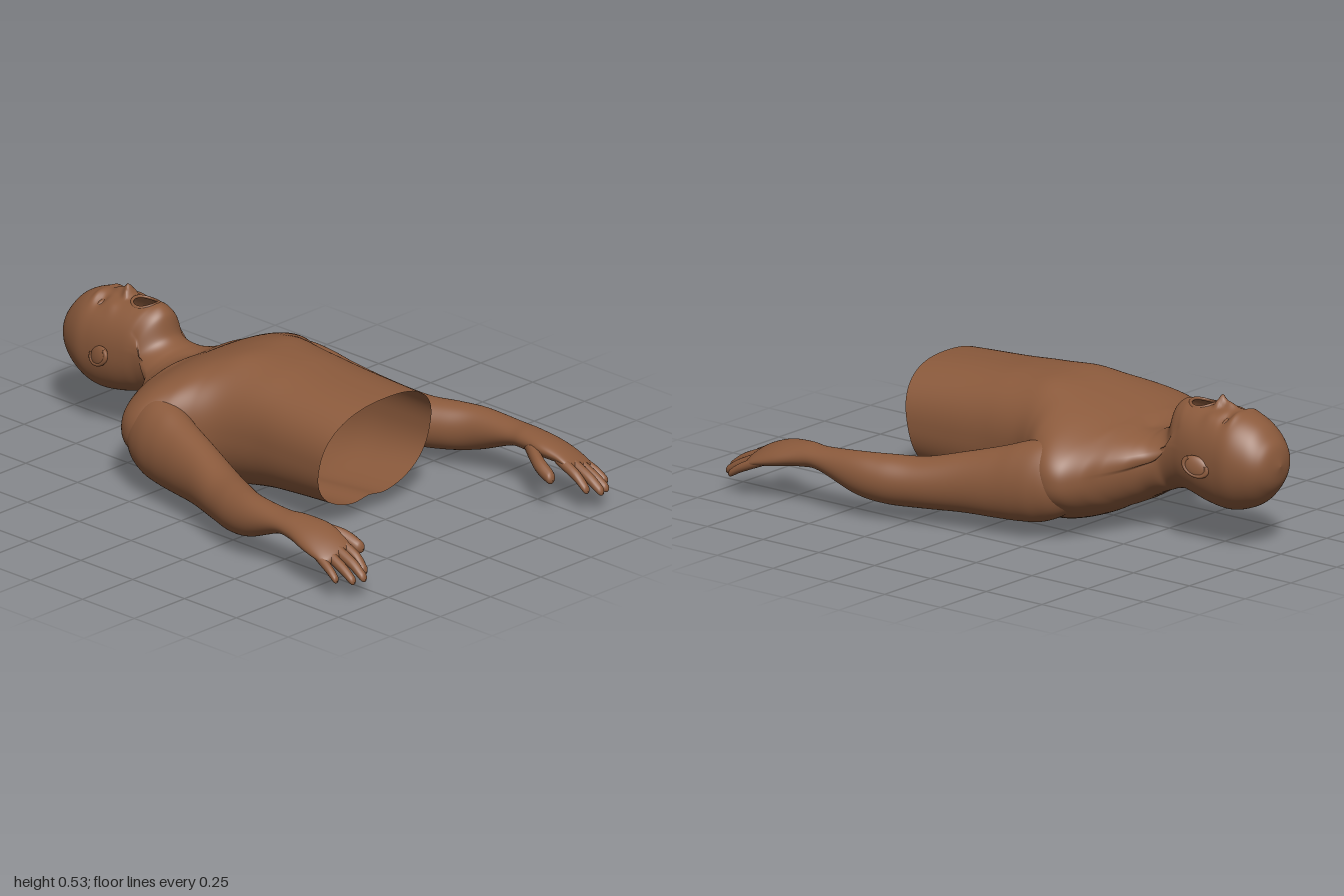
import * as THREE from 'three';

const skin = new THREE.MeshStandardMaterial({ color: 0x8b5a3c, side: THREE.DoubleSide });

// Catmull-Rom interpolation of rows of numbers: `steps` rows per span
function smoothRows(rows, steps) {
  const out = [];
  const at = i => rows[Math.min(Math.max(i, 0), rows.length - 1)];
  for (let i = 0; i < rows.length - 1; i++) {
    for (let s = 0; s < steps; s++) {
      const t = s / steps;
      out.push(rows[i].map((b, k) => {
        const a = at(i - 1)[k], c = at(i + 1)[k], d = at(i + 2)[k];
        return b + 0.5 * t * (c - a + t * (2 * a - 5 * b + 4 * c - d + t * (3 * (b - c) + d - a)));
      }));
    }
  }
  out.push(rows[rows.length - 1]);
  return out;
}

// Skin over rings [z, x, y, rx, ry, power, lean], listed from high z to low z
function loft(rings, sides, move, drop) {
  const pos = [], index = [];
  for (const [z, cx, cy, rx, ry, n, lean] of rings) {
    for (let j = 0; j < sides; j++) {
      const a = (j / sides) * Math.PI * 2, c = Math.cos(a), s = Math.sin(a);
      const dx = Math.max(rx, 0) * Math.sign(c) * Math.abs(c) ** (2 / n);
      const dy = Math.max(ry, 0) * Math.sign(s) * Math.abs(s) ** (2 / n);
      const p = new THREE.Vector3(cx + dx, cy + dy + lean * dx, z);
      if (move) move(p, s);
      pos.push(p.x, p.y, p.z);
    }
  }
  const point = i => new THREE.Vector3().fromArray(pos, i * 3);
  const add = (...tri) => {
    if (!drop || !drop(tri.map(point))) index.push(...tri);
  };
  for (let i = 0; i < rings.length - 1; i++) {
    for (let j = 0; j < sides; j++) {
      const k = (j + 1) % sides, a = i * sides + j, b = i * sides + k;
      add(a, a + sides, b);
      add(b, a + sides, b + sides);
    }
  }
  const g = new THREE.BufferGeometry();
  g.setAttribute('position', new THREE.Float32BufferAttribute(pos, 3));
  g.setIndex(index);
  g.computeVertexNormals();
  return g;
}

function part(name, geometry) {
  const m = new THREE.Mesh(geometry, skin);
  m.name = name;
  return m;
}

// Torso, shoulders, neck and head: z, half width, lowest y, highest y, roundness power
const bodyRings = smoothRows([
  [0.42, 0.275, 0.065, 0.465, 2.4], [0.25, 0.268, 0.05, 0.48, 2.4],
  [0.1, 0.268, 0.035, 0.495, 2.4], [-0.03, 0.29, 0.012, 0.5, 2.3],
  [-0.12, 0.338, 0.005, 0.49, 2.3], [-0.2, 0.405, 0.015, 0.468, 2.3],
  [-0.28, 0.448, 0.038, 0.436, 2.3], [-0.35, 0.435, 0.066, 0.4, 2.3],
  [-0.4, 0.372, 0.092, 0.376, 2.2], [-0.43, 0.3, 0.11, 0.367, 2.1],
  [-0.46, 0.225, 0.126, 0.365, 2], [-0.49, 0.165, 0.142, 0.372, 2],
  [-0.53, 0.13, 0.158, 0.4, 2], [-0.555, 0.119, 0.167, 0.474, 2],
  [-0.6, 0.118, 0.175, 0.496, 2.1], [-0.65, 0.125, 0.168, 0.495, 2.2],
  [-0.72, 0.135, 0.15, 0.495, 2.2], [-0.8, 0.142, 0.14, 0.498, 2.2],
  [-0.86, 0.143, 0.15, 0.493, 2.1], [-0.92, 0.124, 0.178, 0.465, 2],
  [-0.96, 0.098, 0.22, 0.425, 2], [-0.985, 0.062, 0.262, 0.388, 2],
  [-1, 0, 0.325, 0.325, 2],
], 11).map(([z, w, lo, hi, n]) => [z, 0, (lo + hi) / 2, w, (hi - lo) / 2, n, 0]);

// Front relief: x, z, spread x, spread z, height (mirrored in x)
const relief = [
  [0, -0.768, 0.016, 0.032, 0.022], [0, -0.737, 0.019, 0.016, 0.034],
  [0.022, -0.73, 0.011, 0.011, 0.014], [0, -0.66, 0.075, 0.06, 0.006],
  [0.06, -0.805, 0.03, 0.018, -0.014], [0.05, -0.838, 0.035, 0.012, 0.006],
  [0.08, -0.745, 0.025, 0.025, 0.006], [0, -0.585, 0.03, 0.02, 0.005],
  [0.14, -0.07, 0.08, 0.08, 0.008], [0.16, -0.385, 0.09, 0.02, 0.006],
  [0, -0.42, 0.04, 0.03, -0.006],
];
const bell = v => Math.exp(-v * v);

function shapeBody(p, up) {
  if (up > 0.1) {
    for (const [x, z, sx, sz, h] of relief) {
      p.y += Math.min(1, up * 2) * h * bell((Math.abs(p.x) - x) / sx) * bell((p.z - z) / sz);
    }
    // rounded chin: the jaw falls back to the sides
    p.z -= Math.min(1, up * 2) * 4.2 * p.x ** 2 * bell((p.z + 0.553) / 0.06);
  } else if (p.z > -0.4) {
    p.y += 0.014 * Math.max(0, -up) * bell(p.x / 0.05); // spine groove
  }
  // slanted cut at the waist
  const fade = THREE.MathUtils.smoothstep(p.z, 0.15, 0.42);
  p.z += fade * 0.08 * (Math.max(0, p.y - 0.065) / 0.4) ** 1.5;
}

const mouthZ = -0.656;
function inMouth(tri) {
  const c = tri.reduce((s, p) => s.add(p), new THREE.Vector3()).divideScalar(3);
  return c.y > 0.4 && Math.hypot(c.x, c.z - mouthZ) < 0.046;
}

function inBody(tri) {
  return tri.every(p => {
    const r = bodyRings.find(q => q[0] <= p.z);
    return p.z < 0.3 &&
      Math.abs(p.x / r[3]) ** r[5] + Math.abs((p.y - r[2]) / r[4]) ** r[5] < 0.97;
  });
}

// Arm from knuckles to shoulder: z, x, y, rx, ry, lean
const armRows = [
  [0.885, 0.58, 0.142, 0.02, 0.004, -0.25], [0.87, 0.582, 0.148, 0.062, 0.018, -0.25],
  [0.82, 0.58, 0.165, 0.072, 0.029, -0.25], [0.75, 0.572, 0.18, 0.075, 0.038, -0.2],
  [0.66, 0.567, 0.19, 0.062, 0.041, -0.1], [0.58, 0.568, 0.188, 0.056, 0.043, 0],
  [0.43, 0.56, 0.165, 0.067, 0.076, 0], [0.32, 0.528, 0.155, 0.084, 0.088, 0],
  [0.2, 0.482, 0.155, 0.092, 0.092, 0], [0.05, 0.437, 0.175, 0.09, 0.108, -0.08],
  [-0.08, 0.405, 0.192, 0.095, 0.126, -0.15], [-0.17, 0.382, 0.207, 0.104, 0.14, -0.18],
  [-0.25, 0.358, 0.218, 0.113, 0.143, -0.18], [-0.32, 0.335, 0.226, 0.105, 0.12, -0.15],
  [-0.37, 0.31, 0.232, 0.06, 0.075, 0], [-0.39, 0.3, 0.235, 0.005, 0.005, 0],
];

// Fingers: tip, middle joint and root as [z, x, y], then radius
const fingers = {
  thumb: [[0.87, 0.452, 0.128], [0.78, 0.475, 0.16], [0.67, 0.542, 0.187], 0.026],
  indexFinger: [[0.965, 0.53, 0.09], [0.91, 0.528, 0.135], [0.82, 0.533, 0.172], 0.018],
  middleFinger: [[1.0, 0.568, 0.083], [0.93, 0.566, 0.125], [0.82, 0.566, 0.167], 0.019],
  ringFinger: [[0.985, 0.608, 0.08], [0.92, 0.604, 0.115], [0.82, 0.6, 0.158], 0.018],
  littleFinger: [[0.94, 0.65, 0.085], [0.89, 0.642, 0.115], [0.81, 0.628, 0.15], 0.016],
};

function makeArm(side) {
  const arm = new THREE.Group();
  arm.name = side > 0 ? 'leftArm' : 'rightArm';
  // the right arm reaches slightly less far
  const reach = z => (side < 0 && z > 0 ? z * 0.955 : z);
  const rings = smoothRows(armRows, 7).map(([z, x, y, rx, ry, lean]) =>
    [reach(z), side * x, y, rx, ry, 2, side * lean]);
  arm.add(part('armAndPalm', loft(rings, 64, null, inBody)));
  for (const [name, [tip, mid, root, r]] of Object.entries(fingers)) {
    const near = f => tip.map((v, k) => v + (mid[k] - v) * f);
    const rows = [[...tip, 0.001], [...near(0.06), r * 0.55], [...near(0.25), r * 0.85],
      [...mid, r], [...root, r * 1.1]];
    const fingerRings = smoothRows(rows, 5).map(([z, x, y, q]) =>
      [reach(z), side * x, y, q, q * 1.1, 2, 0]);
    arm.add(part(name, loft(fingerRings, 16)));
  }
  return arm;
}

// Ear with a raised rim that is open towards the face, flared at the back
function makeEar(side) {
  const ear = new THREE.Group();
  ear.name = side > 0 ? 'leftEar' : 'rightEar';
  const shell = part('earShell', new THREE.SphereGeometry(1, 24, 16));
  shell.scale.set(0.014, 0.036, 0.052);
  const rim = part('earRim',
    new THREE.TorusGeometry(0.034, 0.007, 10, 32, Math.PI * 1.4).rotateZ(Math.PI * 0.8));
  rim.rotation.y = Math.PI / 2;
  rim.scale.set(1.35, 0.9, 1);
  rim.position.x = side * 0.005;
  ear.add(shell, rim);
  ear.position.set(side * 0.146, 0.31, -0.738);
  ear.rotation.set(-0.35, side * 0.17, side * 0.25);
  return ear;
}

export function createModel() {
  const model = new THREE.Group();
  model.name = 'bust';
  model.add(part('torsoAndHead', loft(bodyRings, 144, shapeBody, inMouth)));

  // Lips bent over the curve of the face
  const lips = new THREE.TorusGeometry(0.047, 0.006, 12, 48).rotateX(Math.PI / 2);
  const v = lips.attributes.position;
  for (let i = 0; i < v.count; i++) v.setY(i, v.getY(i) - 5 * v.getX(i) ** 2);
  lips.computeVertexNormals();
  const mouth = part('lips', lips);
  mouth.position.set(0, 0.498, mouthZ);
  model.add(mouth);

  for (const side of [1, -1]) {
    model.add(makeArm(side), makeEar(side));
    const eye = part(side > 0 ? 'leftEye' : 'rightEye', new THREE.SphereGeometry(1, 24, 16));
    eye.scale.set(0.026, 0.012, 0.011);
    eye.position.set(side * 0.06, 0.463, -0.808);
    eye.rotation.z = -side * 0.3;
    model.add(eye);
  }
  return model;
}
